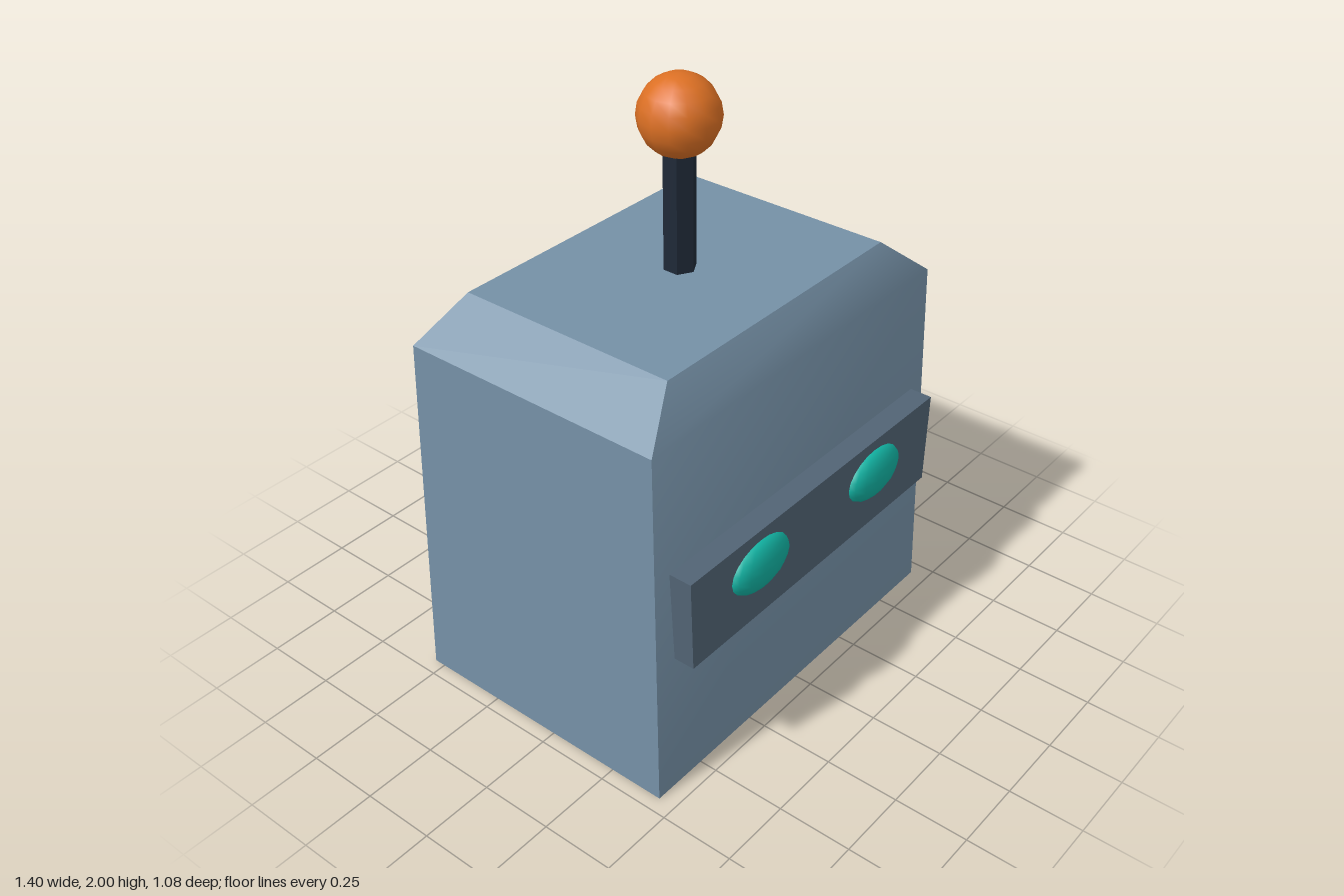
import * as THREE from 'three';
import { toCreasedNormals } from 'three/addons/utils/BufferGeometryUtils.js';

const paint = (name, color) => {
  const m = new THREE.MeshStandardMaterial({ color });
  m.name = name;
  return m;
};

// Stack of rectangular rings [y, halfWidth, zBack, zFront], capped at both ends
function ringSolid(rings, crease) {
  const pos = [], idx = [];
  for (const [y, w, zb, zf] of rings) pos.push(-w, y, zf, w, y, zf, w, y, zb, -w, y, zb);
  for (let r = 0; r < rings.length - 1; r++) {
    for (let i = 0; i < 4; i++) {
      const a = r * 4 + i, b = r * 4 + (i + 1) % 4;
      idx.push(a, b, b + 4, a, b + 4, a + 4);
    }
  }
  const t = (rings.length - 1) * 4;
  idx.push(0, 2, 1, 0, 3, 2, t, t + 1, t + 2, t, t + 2, t + 3);
  const geo = new THREE.BufferGeometry();
  geo.setAttribute('position', new THREE.Float32BufferAttribute(pos, 3));
  geo.setIndex(idx);
  return toCreasedNormals(geo, crease);
}

export function createModel() {
  const group = new THREE.Group();
  group.name = 'robotHead';
  const steel = paint('steelBlue', 0x7590a6);
  const slate = paint('slateGrey', 0x526475);
  const teal = paint('teal', 0x12b2a2);
  const navy = paint('darkNavy', 0x1f2937);
  const orange = paint('orange', 0xdc7024);

  const add = (name, geo, mat, x = 0, y = 0, z = 0) => {
    const mesh = new THREE.Mesh(geo, mat);
    mesh.name = name;
    mesh.position.set(x, y, z);
    group.add(mesh);
    return mesh;
  };

  // Tapered head with a bevelled crown; the shallow front and back bevels shade smoothly
  add('head', ringSolid([
    [0, 0.7, -0.54, 0.44],
    [1.237, 0.68, -0.513, 0.413],
    [1.375, 0.517, -0.435, 0.333],
  ], 0.6), steel);

  // Face plate, slightly narrower at the bottom
  add('visor', ringSolid([
    [0.497, 0.61, 0.42, 0.5],
    [0.815, 0.622, 0.42, 0.5],
  ], 0.5), slate);

  // Oval eyes set into the face plate
  for (const side of [1, -1]) {
    const eye = add(side > 0 ? 'leftEye' : 'rightEye',
      new THREE.SphereGeometry(1, 14, 10), teal, side * 0.297, 0.692, 0.498);
    eye.scale.set(0.137, 0.087, 0.043);
  }

  // Hexagonal antenna with a ball on top
  const rod = new THREE.CylinderGeometry(0.053, 0.053, 0.42, 6);
  add('antennaRod', toCreasedNormals(rod, 0.5), navy, 0, 1.575, -0.05);
  add('antennaBall', new THREE.SphereGeometry(0.128, 14, 10), orange, 0, 1.872, -0.05);

  return group;
}
